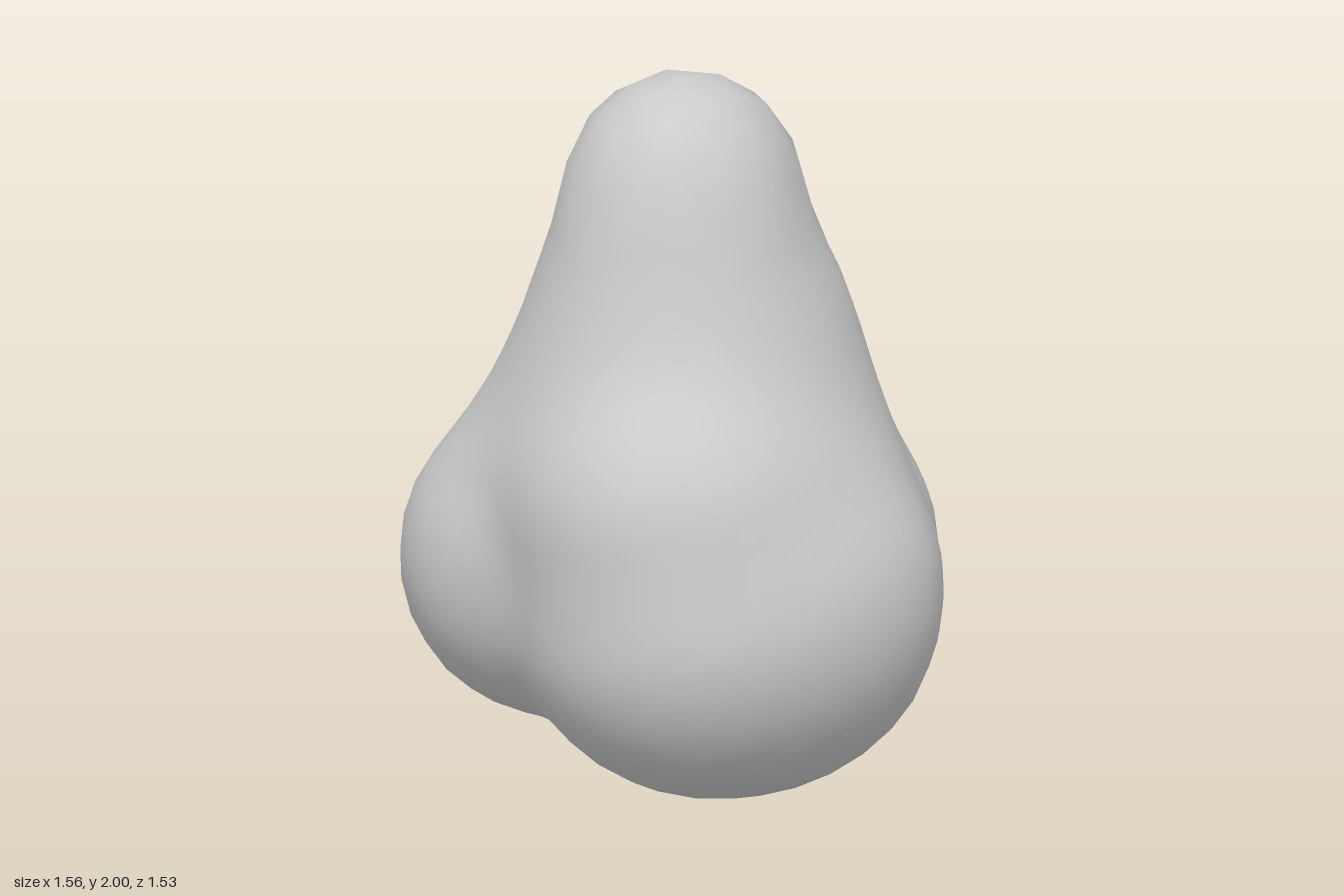
import * as THREE from 'three';
import { mergeVertices } from 'three/addons/utils/BufferGeometryUtils.js';

const v = (x, y, z) => new THREE.Vector3(x, y, z);

// Tapered round lobes: start point, start radius, end point, end radius
const lobes = [
  [v(0.03, 0.95, 0.05), 0.49, v(0.02, 1.675, 0.06), 0.3], // neck and head, front half
  [v(0.03, 0.95, -0.05), 0.49, v(0.02, 1.675, -0.11), 0.3], // neck and head, back half
  [v(0.12, 0.53, 0.26), 0.49, v(0.07, 0.8, 0.27), 0.45], // front belly
  [v(0.27, 0.55, -0.36), 0.365, v(0.26, 0.53, 0.12), 0.49], // left flank, back bulge to front bulge
  [v(0.28, 0.6, 0.08), 0.46, v(0.1, 1.12, 0), 0.36], // left flank up to neck
  [v(0.25, 0.63, -0.36), 0.34, v(0.1, 1.22, -0.14), 0.33], // back bulge up to neck
  [v(0.2, 0.6, -0.38), 0.35, v(-0.08, 0.78, -0.22), 0.36], // right flank, back bulge to raised middle
  [v(-0.08, 0.78, -0.22), 0.36, v(-0.35, 0.56, -0.03), 0.39], // right flank, raised middle to right bulge
  [v(-0.35, 0.66, -0.02), 0.38, v(-0.02, 1.2, -0.03), 0.33], // right bulge up to neck
];
const BLEND = 0.06;

// Signed distance to one tapered lobe
function lobeDistance(p, [a, ra, b, rb]) {
  const axis = b.clone().sub(a);
  const t = THREE.MathUtils.clamp(p.clone().sub(a).dot(axis) / axis.lengthSq(), 0, 1);
  return p.distanceTo(axis.multiplyScalar(t).add(a)) - THREE.MathUtils.lerp(ra, rb, t);
}

// Smooth union of all lobes
function field(p) {
  let sum = 0;
  for (const lobe of lobes) sum += Math.exp(-lobeDistance(p, lobe) / BLEND);
  return -BLEND * Math.log(sum);
}

// Push every vertex of a sphere out to the blended surface
function blobGeometry() {
  let geo = new THREE.IcosahedronGeometry(1, 9);
  geo.deleteAttribute('uv');
  geo.deleteAttribute('normal');
  geo = mergeVertices(geo, 1e-4);
  const pos = geo.attributes.position;
  const centre = v(0.03, 0.8, 0);
  const dir = v(0, 0, 0);
  const p = v(0, 0, 0);
  for (let i = 0; i < pos.count; i++) {
    dir.fromBufferAttribute(pos, i).normalize();
    let near = 0;
    let far = 1.6;
    for (let n = 0; n < 24; n++) {
      const mid = (near + far) / 2;
      p.copy(centre).addScaledVector(dir, mid);
      if (field(p) < 0) near = mid;
      else far = mid;
    }
    pos.setXYZ(i, p.x, p.y, p.z);
  }
  // Stand on the ground
  geo.computeBoundingBox();
  geo.translate(0, -geo.boundingBox.min.y, 0);
  geo.computeVertexNormals();
  return geo;
}

export function createModel() {
  const group = new THREE.Group();
  group.name = 'lobedBlob';
  const body = new THREE.Mesh(blobGeometry(), new THREE.MeshStandardMaterial({ color: 0xcccccc }));
  body.name = 'body';
  group.add(body);
  return group;
}
